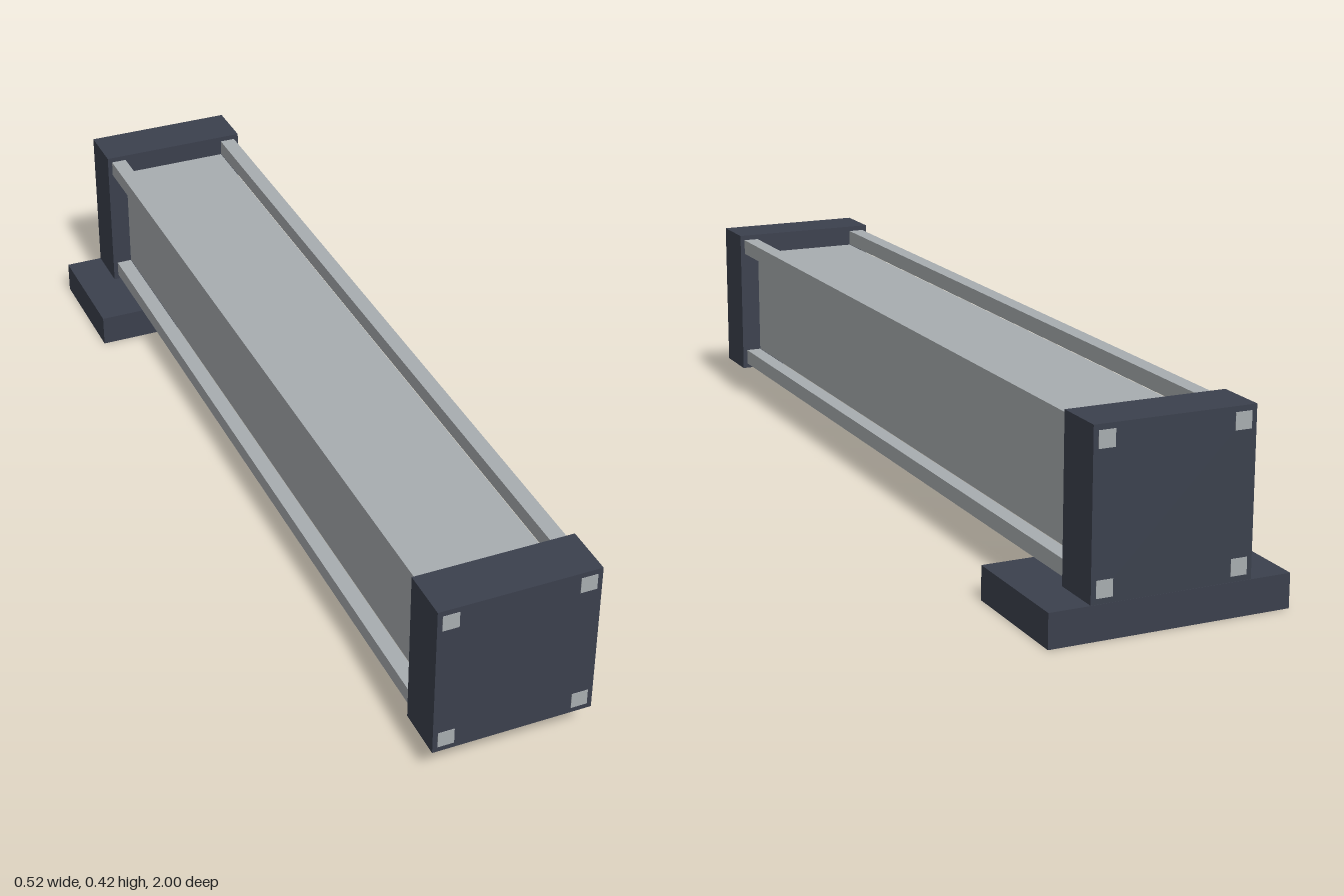
import * as THREE from 'three';

export function createModel() {
  const model = new THREE.Group();
  model.name = 'pneumaticCylinder';

  const darkMetal = new THREE.MeshStandardMaterial({ name: 'dark slate', color: 0x3b404d });
  const aluminium = new THREE.MeshStandardMaterial({ name: 'light grey', color: 0xa8adb0 });

  const box = (name, material, size, position) => {
    const mesh = new THREE.Mesh(new THREE.BoxGeometry(...size), material);
    mesh.name = name;
    mesh.position.set(...position);
    model.add(mesh);
    return mesh;
  };

  const axisY = 0.244;   // height of the barrel's centre line
  const capSize = 0.342;
  const capDepth = 0.113;

  // Square barrel between the two end caps
  box('barrel', aluminium, [0.25, 0.25, 1.8], [0, axisY, 0]);

  // End caps, a hair short of the tie rod ends
  for (const [name, side] of [['frontCap', 1], ['rearCap', -1]]) {
    box(name, darkMetal, [capSize, capSize + 0.002, capDepth], [0, axisY, side * (0.999 - capDepth / 2)]);
  }

  // Four tie rods running through both caps
  for (const x of [-1, 1]) {
    for (const y of [-1, 1]) {
      const name = (y > 0 ? 'upper' : 'lower') + (x > 0 ? 'Left' : 'Right') + 'TieRod';
      box(name, aluminium, [0.035, 0.035, 2], [x * 0.143, axisY + y * 0.143, 0]);
    }
  }

  // Mounting foot under the rear cap
  box('mountingFoot', darkMetal, [0.516, 0.072, 0.283], [0, 0.036, -0.8585]);

  return model;
}
